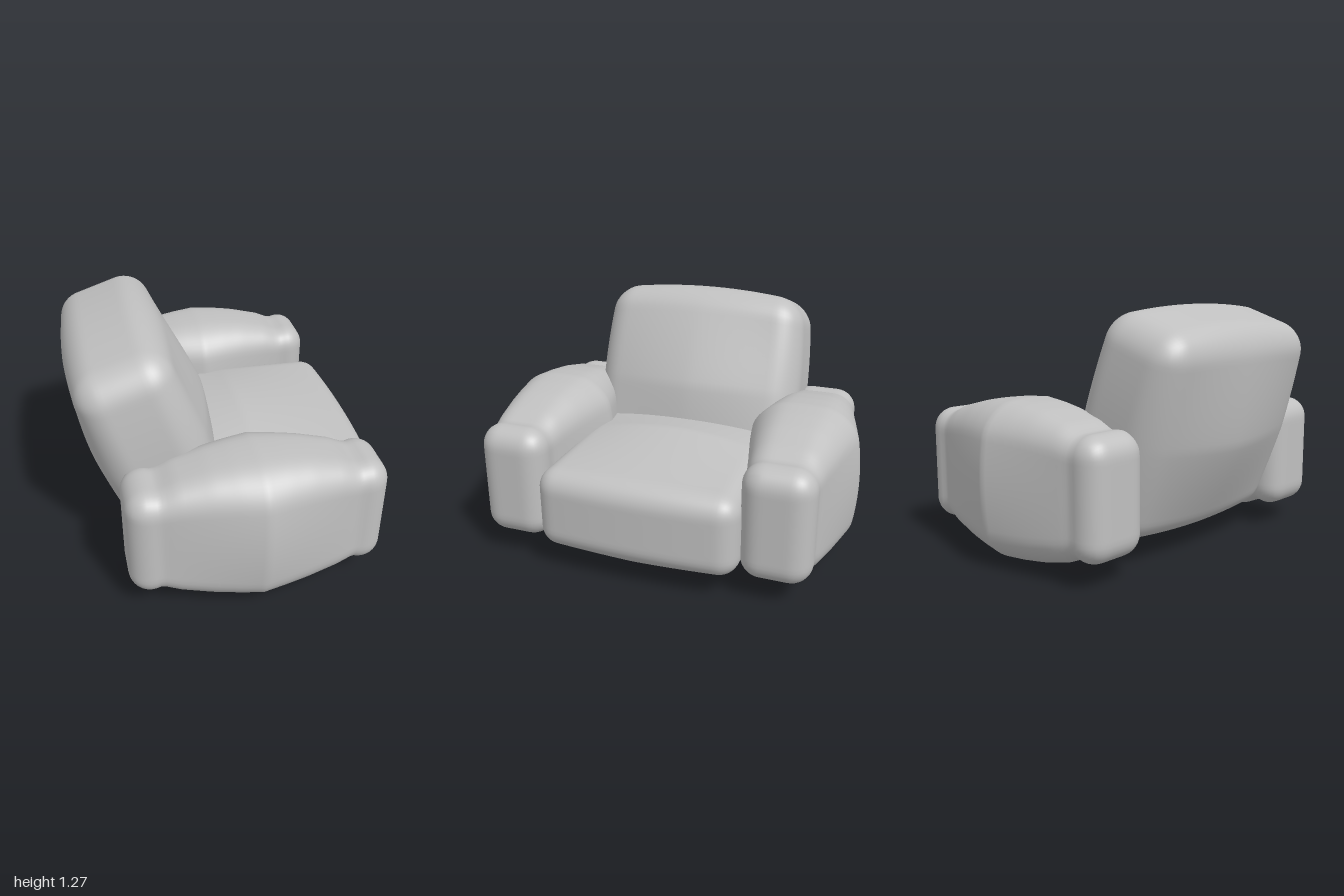
import * as THREE from 'three';
import { mergeVertices } from 'three/addons/utils/BufferGeometryUtils.js';

// Rounded box with half sizes hx, hy, hz whose vertices are then swollen by a rule
function cushion(name, material, [hx, hy, hz], radius, swell) {
  const segs = (h) => 2 * Math.ceil(h / 0.025);
  let geo = new THREE.BoxGeometry(2 * hx, 2 * hy, 2 * hz, segs(hx), segs(hy), segs(hz));
  geo.deleteAttribute('uv');
  geo.deleteAttribute('normal');
  geo = mergeVertices(geo, 1e-4);
  const inner = new THREE.Vector3(hx - radius, hy - radius, hz - radius);
  const outer = inner.clone().negate();
  const p = new THREE.Vector3();
  const core = new THREE.Vector3();
  const pos = geo.attributes.position;
  for (let i = 0; i < pos.count; i++) {
    p.fromBufferAttribute(pos, i);
    core.copy(p).clamp(outer, inner);
    p.sub(core).setLength(radius).add(core);
    swell(p, p.x / hx, p.y / hy, p.z / hz);
    pos.setXYZ(i, p.x, p.y, p.z);
  }
  geo.computeVertexNormals();
  const mesh = new THREE.Mesh(geo, material);
  mesh.name = name;
  return mesh;
}

// Linear interpolation through [distance, value] pairs
function profile(points, d) {
  for (let i = 1; i < points.length; i++) {
    const [a, va] = points[i - 1];
    const [b, vb] = points[i];
    if (d <= b) return va + ((vb - va) * (d - a)) / (b - a);
  }
  return points[points.length - 1][1];
}

export function createModel() {
  const group = new THREE.Group();
  group.name = 'armchair';
  const fabric = new THREE.MeshStandardMaterial({ color: 0xc0c0c0 });
  fabric.name = 'grey fabric';

  // Arms: swollen in the middle, pinched just before the rounded ends
  const rise = [[0, 0.1], [0.12, 0.09], [0.24, 0.072], [0.4, 0.03], [0.49, -0.012], [0.53, 0]];
  const spread = [[0, 0.12], [0.46, 0.004], [0.49, -0.006], [0.53, 0]];
  for (const side of [1, -1]) {
    const arm = cushion(side > 0 ? 'leftArm' : 'rightArm', fabric, [0.65, 0.3, 0.18], 0.11, (p, u, v, w) => {
      const d = Math.abs(p.x);
      p.y += profile(rise, d) * v * (1 - 0.25 * w * w);
      p.z += profile(spread, d) * w * (1 - 0.4 * v * v);
    });
    arm.position.set(0.05, 0.42, side * 0.695);
    group.add(arm);
  }

  // Seat: domed top, peaked underside, gently bowed front
  const seat = cushion('seat', fabric, [0.605, 0.21, 0.53], 0.1, (p, u, v, w) => {
    const along = 1 - Math.abs(u);
    p.y += v > 0
      ? 0.08 * v * Math.pow(along, 0.9) * (1 - w * w)
      : 0.13 * v * along * (1 - Math.abs(w));
    p.x += 0.027 * u * (1 - w * w);
  });
  seat.position.set(0.14, 0.34, 0);
  group.add(seat);

  // Backrest: thick reclined pillow bulging on all sides
  const back = cushion('backrest', fabric, [0.24, 0.525, 0.55], 0.13, (p, u, v, w) => {
    p.x += 0.105 * u * (1 - Math.pow(Math.abs(v), 1.3)) * (1 - Math.pow(Math.abs(w), 1.6));
    p.y += 0.045 * v * (1 - w * w);
    p.z += 0.04 * w * (1 - v * v);
  });
  back.position.set(-0.4, 0.69, 0);
  back.rotation.z = THREE.MathUtils.degToRad(18);
  group.add(back);

  return group;
}
